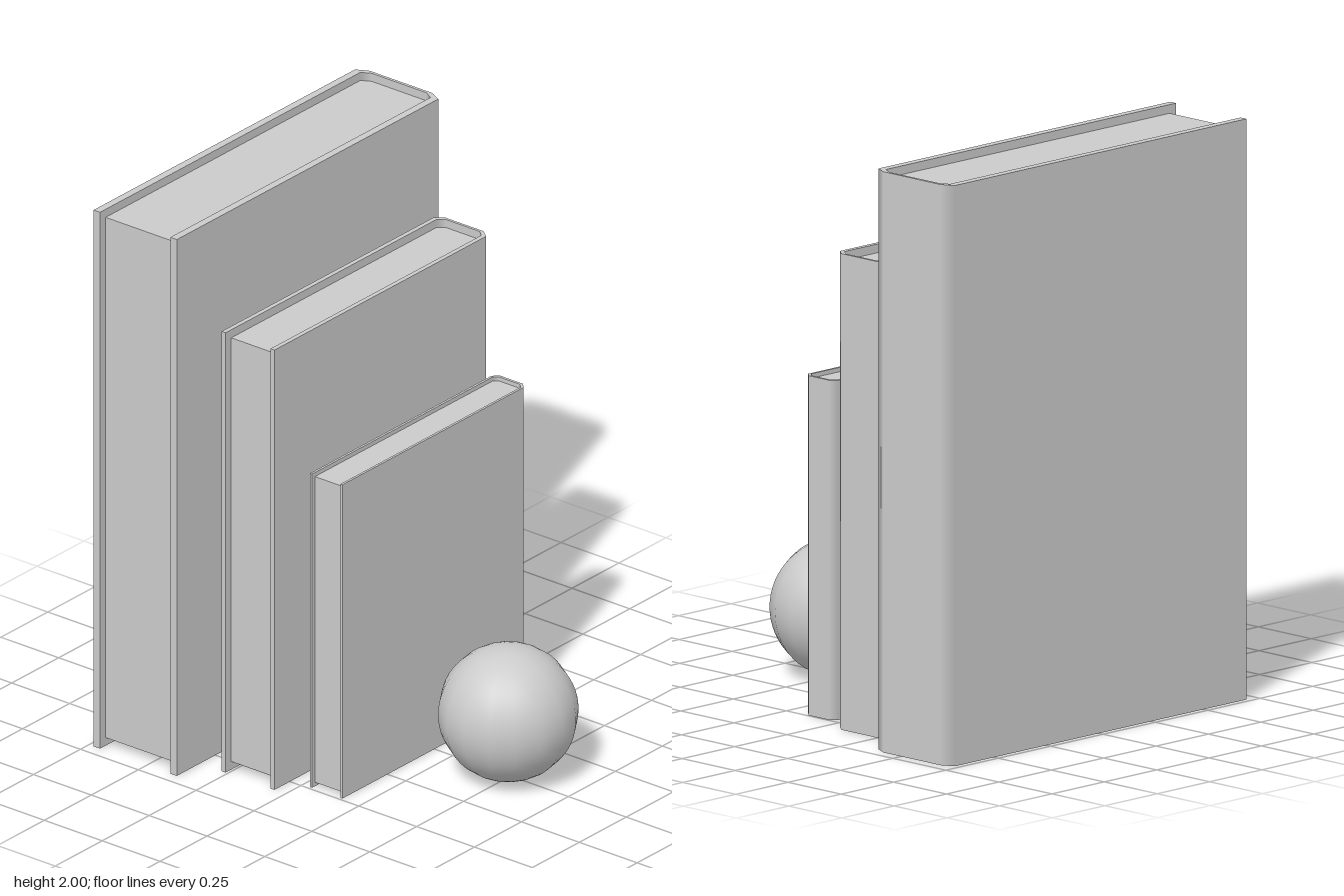
import * as THREE from 'three';

const material = new THREE.MeshStandardMaterial({ color: 0xcccccc });

// Upright prism from a plan outline of [x, z] points
function prism(outline, y0, y1, name) {
  const shape = new THREE.Shape(outline.map(([x, z]) => new THREE.Vector2(x, -z)));
  const geo = new THREE.ExtrudeGeometry(shape, { depth: y1 - y0, bevelEnabled: false });
  geo.rotateX(-Math.PI / 2).translate(0, y0, 0);
  const mesh = new THREE.Mesh(geo, material);
  mesh.name = name;
  return mesh;
}

// Blend each chamfer between its flat side and flat spine
function softenChamfers(geo) {
  const n = geo.attributes.normal, p = geo.attributes.position;
  for (let i = 0; i < n.count; i += 3) {
    const nx = n.getX(i), nz = n.getZ(i);
    if (Math.abs(nx) < 0.1 || Math.abs(nz) < 0.1) continue;
    const zs = [0, 1, 2].map(k => p.getZ(i + k));
    const mid = (Math.min(...zs) + Math.max(...zs)) / 2;
    zs.forEach((z, k) => {
      if (z < mid) n.setXYZ(i + k, 0, 0, Math.sign(nz));
      else n.setXYZ(i + k, Math.sign(nx), 0, 0);
    });
  }
}

function createBook({ name, x, half, back, front, height, board, spine, chamferX, chamferZ, inset }) {
  const book = new THREE.Group();
  book.name = name;
  // Left half of the outer and inner cover outlines, front to spine
  const innerHalf = half - board, innerBack = back + spine;
  const outer = [[-half, front], [-half, back + chamferZ], [-half + chamferX, back]];
  const inner = [
    [-innerHalf, front],
    [-innerHalf, innerBack + chamferZ * 0.8],
    [-innerHalf + chamferX * 0.75, innerBack],
  ];
  const mirror = pts => pts.map(([px, pz]) => [-px, pz]).reverse();

  // Wraparound cover with chamfered spine corners
  const cover = prism([...outer, ...mirror(outer), ...inner.map(([px, pz]) => [-px, pz]), ...mirror(inner).map(([px, pz]) => [-px, pz])], 0, height, 'cover');
  softenChamfers(cover.geometry);

  // Page block, inset at top, bottom and front
  const pageHalf = inner.map(([px, pz], i) => [px, i === 0 ? front - inset : pz]);
  const pages = prism([...pageHalf, ...mirror(pageHalf)], inset, height - inset, 'pages');

  book.add(cover, pages);
  book.position.x = x;
  return book;
}

export function createModel() {
  const model = new THREE.Group();
  model.name = 'booksAndBall';

  const books = [
    { name: 'largeBook', x: -0.55, half: 0.18, back: -0.71, front: 0.705, height: 2,
      board: 0.028, spine: 0.011, chamferX: 0.045, chamferZ: 0.023, inset: 0.03 },
    { name: 'mediumBook', x: -0.162, half: 0.114, back: -0.57, front: 0.582, height: 1.64,
      board: 0.017, spine: 0.01, chamferX: 0.031, chamferZ: 0.025, inset: 0.03 },
    { name: 'smallBook', x: 0.101, half: 0.07, back: -0.495, front: 0.49, height: 1.17,
      board: 0.009, spine: 0.01, chamferX: 0.02, chamferZ: 0.02, inset: 0.015 },
  ];
  books.forEach(spec => model.add(createBook(spec)));

  // Ball beside the smallest book
  const ball = new THREE.Mesh(new THREE.SphereGeometry(0.237, 16, 32), material);
  ball.name = 'ball';
  ball.position.set(0.49, 0.237, 0);
  model.add(ball);

  return model;
}
